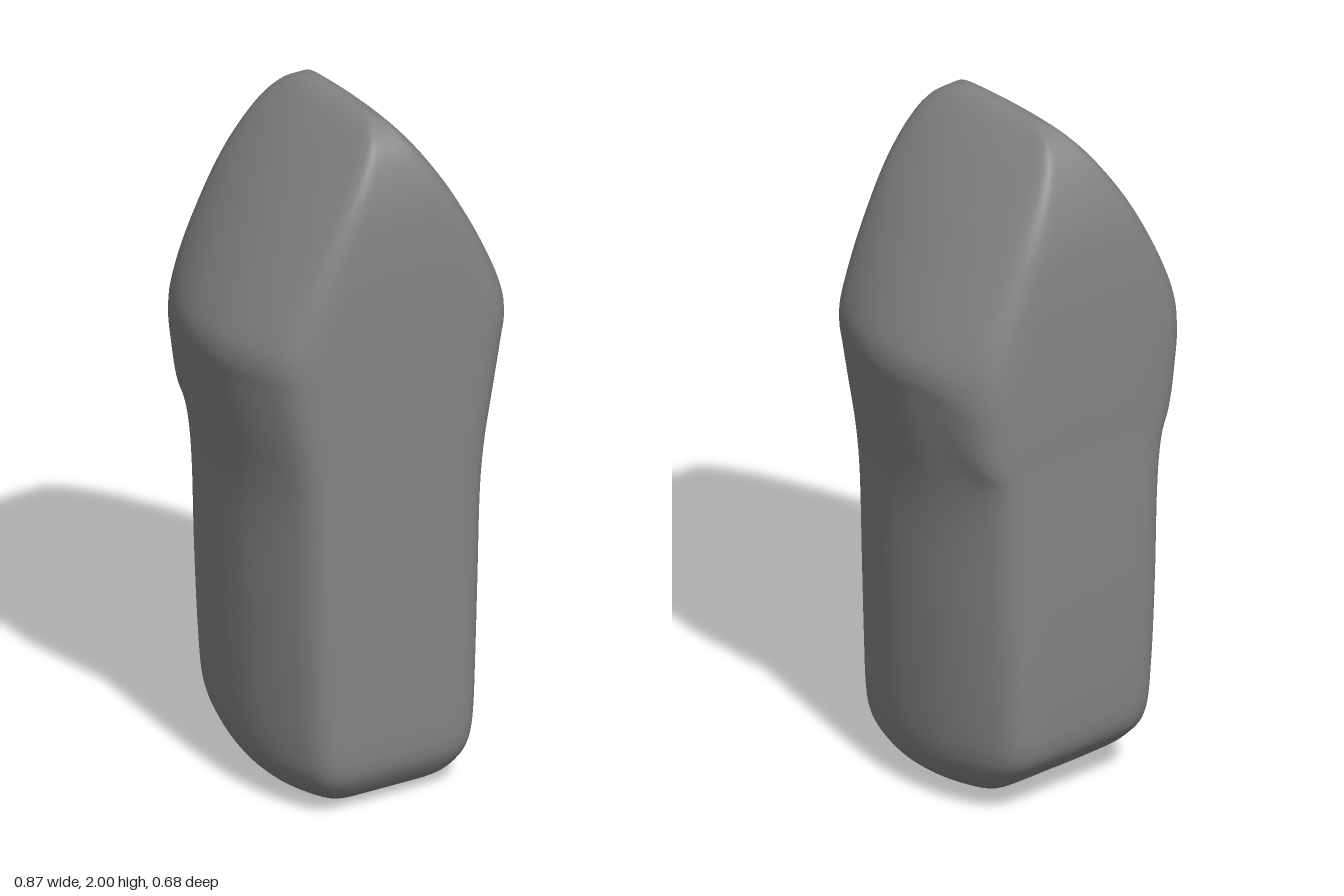
import * as THREE from 'three';
import { mergeVertices } from 'three/addons/utils/BufferGeometryUtils.js';

const ROWS = 120, SIDES = 96;

// Height stations: [y, half width, front z, back z]
const stations = [
  [0, 0, 0.06, 0.04], [0.004, 0.1, 0.16, -0.04], [0.012, 0.17, 0.22, -0.1],
  [0.03, 0.22, 0.265, -0.14], [0.065, 0.263, 0.3, -0.19], [0.12, 0.295, 0.33, -0.26],
  [0.2, 0.312, 0.34, -0.317], [0.35, 0.322, 0.34, -0.333], [0.6, 0.332, 0.34, -0.34],
  [0.85, 0.341, 0.34, -0.34], [1.0, 0.358, 0.34, -0.338], [1.16, 0.393, 0.34, -0.336],
  [1.28, 0.419, 0.34, -0.337], [1.36, 0.434, 0.34, -0.337], [1.44, 0.418, 0.34, -0.335],
  [1.58, 0.348, 0.34, -0.33], [1.72, 0.262, 0.335, -0.318], [1.82, 0.19, 0.322, -0.295],
  [1.9, 0.125, 0.297, -0.262], [1.95, 0.078, 0.265, -0.225], [1.98, 0.045, 0.225, -0.185],
  [1.995, 0.02, 0.18, -0.13], [2, 0, 0.13, -0.09],
];

// Quarter of the unit cross-section, from the side (x = 1) to the front (z = 1)
const quarter = [[1, 0], [0.98, 0.3], [0.905, 0.62], [0.79, 0.88], [0.62, 0.985], [0.3, 1]];

function sectionCurve() {
  const front = [...quarter, [0, 1], ...quarter.slice().reverse().map(([x, z]) => [-x, z])];
  const back = front.slice(1, -1).reverse().map(([x, z]) => [x, -z]);
  const pts = [...front, ...back].map(([x, z]) => new THREE.Vector3(x, 0, z));
  return new THREE.CatmullRomCurve3(pts, true, 'catmullrom', 0.5);
}

const spline = (pick) => new THREE.CatmullRomCurve3(
  stations.map((s) => new THREE.Vector3(...pick(s))), false, 'catmullrom', 0.5);

// The shoulders sag a little towards the back corners
const shoulderSag = (y, z) =>
  0.1 * THREE.MathUtils.smoothstep(-z, 0.4, 0.95) * Math.exp(-(((y - 1.23) / 0.14) ** 2));

// Loft the section upward; the top closes into a ridge running front to back
function bodyGeometry() {
  const section = sectionCurve();
  const widths = spline((s) => [s[0], s[1], 0]);
  const depths = spline((s) => [s[2], s[3], 0]);
  const pos = [], index = [];
  for (let r = 0; r <= ROWS; r++) {
    const a = widths.getPoint(r / ROWS), d = depths.getPoint(r / ROWS);
    const mid = (d.x + d.y) / 2, half = (d.x - d.y) / 2;
    const y = THREE.MathUtils.clamp(a.x, 0, 2);
    for (let i = 0; i < SIDES; i++) {
      const p = section.getPoint(i / SIDES);
      pos.push(p.x * Math.max(a.y, 0), y - shoulderSag(y, p.z), mid + p.z * half);
      if (r === ROWS) continue;
      const j = (i + 1) % SIDES, lo = r * SIDES, hi = lo + SIDES;
      index.push(lo + i, hi + i, lo + j, lo + j, hi + i, hi + j);
    }
  }
  const geo = new THREE.BufferGeometry();
  geo.setAttribute('position', new THREE.Float32BufferAttribute(pos, 3));
  geo.setIndex(index);
  const merged = mergeVertices(geo, 1e-4);
  merged.computeVertexNormals();
  return merged;
}

export function createModel() {
  const group = new THREE.Group();
  group.name = 'roundedStone';
  const body = new THREE.Mesh(bodyGeometry(), new THREE.MeshStandardMaterial({ color: 0x848484 }));
  body.name = 'body';
  group.add(body);
  return group;
}
